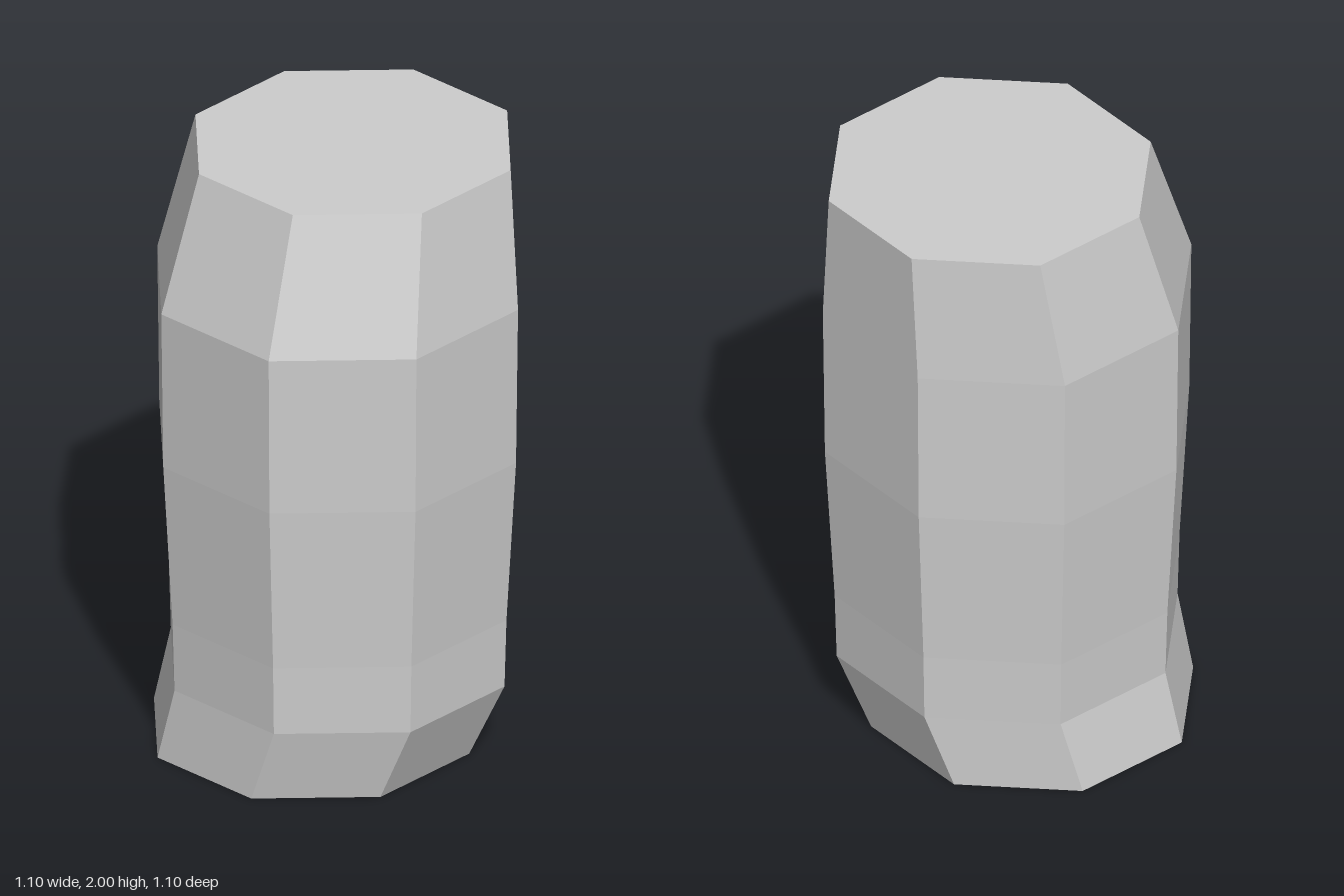
import * as THREE from 'three';

// Octagonal rings from bottom to top: height, centre x, centre z, half width across flats
const RINGS = [
  [0, -0.042, -0.07, 0.478],
  [0.25, -0.004, 0.004, 0.506],
  [0.48, -0.004, 0.004, 0.512],
  [1.03, -0.004, 0.004, 0.541],
  [1.56, -0.004, 0.004, 0.547],
  [2, 0.069, 0, 0.478],
];

export function createModel() {
  const group = new THREE.Group();
  group.name = 'octagonalBlock';

  const grey = new THREE.MeshStandardMaterial({ color: 0xcccccc });
  grey.name = 'light grey';

  // Unit octagonal prism with one row per ring; each row is scaled and shifted
  const rows = RINGS.length - 1;
  const prism = new THREE.CylinderGeometry(1, 1, rows, 8, rows, false, Math.PI / 8);
  const pos = prism.attributes.position;
  for (let i = 0; i < pos.count; i++) {
    const [y, cx, cz, half] = RINGS[Math.round(pos.getY(i) + rows / 2)];
    const radius = half / Math.cos(Math.PI / 8);
    pos.setXYZ(i, cx + pos.getX(i) * radius, y, cz + pos.getZ(i) * radius);
  }

  // Separate the faces so every facet is flat
  const geometry = prism.toNonIndexed();
  geometry.clearGroups();
  geometry.computeVertexNormals();

  const body = new THREE.Mesh(geometry, grey);
  body.name = 'body';
  group.add(body);
  return group;
}
